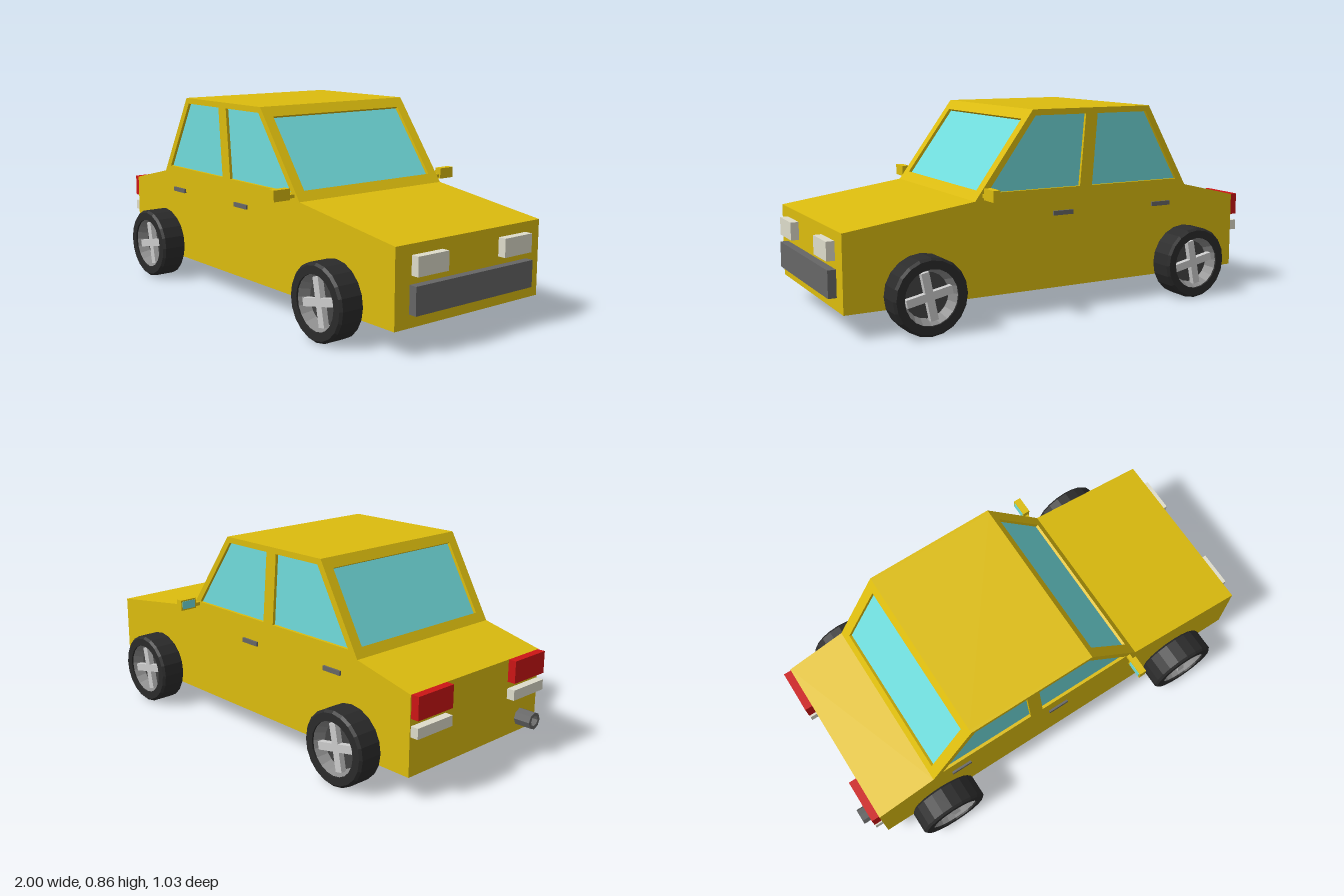
import * as THREE from 'three';

const mat = (color, side = THREE.FrontSide) =>
  new THREE.MeshStandardMaterial({ color, flatShading: true, side });
const PAINT = mat(0xdcbc0e), GLASS = mat(0x70dcdc), TYRE = mat(0x2b2b2b), DARK = mat(0x666666),
  LAMP = mat(0xdedccb), RED = mat(0xcc1515), RIM = mat(0xcccccc),
  BARREL = mat(0x8a8a8a, THREE.DoubleSide), PIPE = mat(0x666666, THREE.DoubleSide);

const W = 0.395;   // half width of the body
const T = 0.013;   // thickness of the cabin panels
const poly = (pts) => new THREE.Shape(pts.map(([x, y]) => new THREE.Vector2(x, y)));

function add(parent, name, geometry, material) {
  const mesh = new THREE.Mesh(geometry, material);
  mesh.name = name;
  parent.add(mesh);
  return mesh;
}

// Box given by its extents on each axis
function block(parent, name, material, [x0, x1], [y0, y1], [z0, z1]) {
  const m = add(parent, name, new THREE.BoxGeometry(x1 - x0, y1 - y0, z1 - z0), material);
  m.position.set((x0 + x1) / 2, (y0 + y1) / 2, (z0 + z1) / 2);
  return m;
}

// Profile in x/y extruded between two z values
function slab(parent, name, material, shape, z0, z1) {
  const g = new THREE.ExtrudeGeometry(shape, { depth: z1 - z0, bevelEnabled: false });
  return add(parent, name, g.translate(0, 0, z0), material);
}

// Sloping window frame from bottom point p to top point q; s = 1 faces +x, -1 faces -x
function slopingFrame(parent, name, p, q, s) {
  const up = new THREE.Vector3(q[0] - p[0], q[1] - p[1], 0);
  const len = up.length(), h = W - T, w = 0.349;
  up.normalize();
  const shape = poly([[-h, 0], [h, 0], [h, len], [-h, len]]);
  const lo = len * 0.105, hi = len * 0.89;
  shape.holes.push(poly([[-w, lo], [w, lo], [w, hi], [-w, hi]]));
  const g = new THREE.ExtrudeGeometry(shape, { depth: T, bevelEnabled: false }).translate(0, 0, -T);
  const out = new THREE.Vector3(up.y * s, -up.x * s, 0);
  g.applyMatrix4(new THREE.Matrix4().makeBasis(new THREE.Vector3(0, 0, -s), up, out));
  add(parent, name, g.translate(p[0], p[1], 0), PAINT);
}

// Wheel with its axis on z and its outer face towards +z
function makeWheel() {
  const wheel = new THREE.Group();
  wheel.name = 'wheel';
  const ring = (pts) => new THREE.LatheGeometry(
    pts.map(([r, y]) => new THREE.Vector2(r, y)), 20).rotateX(Math.PI / 2);
  add(wheel, 'tyre', ring([[0, -0.058], [0.145, -0.058], [0.157, -0.048], [0.157, 0.048],
    [0.147, 0.058], [0.113, 0.058], [0.113, 0.03]]), TYRE);
  add(wheel, 'rimBarrel', ring([[0.113, 0.05], [0.092, 0.005]]), BARREL);
  add(wheel, 'rimBack', new THREE.CircleGeometry(0.095, 20).translate(0, 0, 0.006), mat(0x444444));
  for (const a of [0.2, 0.2 + Math.PI / 2]) {
    const spoke = add(wheel, 'spoke', new THREE.BoxGeometry(0.196, 0.033, 0.025), RIM);
    spoke.position.z = 0.027;
    spoke.rotation.z = a;
  }
  return wheel;
}

export function createModel() {
  const car = new THREE.Group();
  car.name = 'car';

  // Lower body
  slab(car, 'body', PAINT, poly([[-0.925, 0.1], [0.96, 0.1], [0.96, 0.417], [0.4, 0.495],
    [-0.65, 0.495], [-0.925, 0.43]]), -W, W);

  // Cabin: glass core behind framed panels
  slab(car, 'glass', GLASS, poly([[-0.638, 0.49], [0.387, 0.49], [0.128, 0.842], [-0.437, 0.842]]),
    -W + T, W - T);
  const side = poly([[-0.65, 0.495], [0.4, 0.495], [0.135, 0.855], [-0.445, 0.855]]);
  side.holes.push(
    poly([[-0.6, 0.525], [-0.155, 0.525], [-0.18, 0.83], [-0.427, 0.83]]),
    poly([[-0.095, 0.525], [0.345, 0.525], [0.122, 0.83], [-0.122, 0.83]]));
  slab(car, 'leftSideFrame', PAINT, side, W - T, W);
  slab(car, 'rightSideFrame', PAINT, side, -W, -W + T);
  slopingFrame(car, 'windscreenFrame', [0.4, 0.495], [0.135, 0.855], 1);
  slopingFrame(car, 'rearWindowFrame', [-0.65, 0.495], [-0.445, 0.855], -1);
  block(car, 'roof', PAINT, [-0.445, 0.135], [0.842, 0.855], [-W + T, W - T]);

  block(car, 'grille', DARK, [0.95, 0.995], [0.153, 0.265], [-0.322, 0.322]);

  // Parts on both sides
  for (const s of [1, -1]) {
    const z = (a, b) => (s > 0 ? [a, b] : [-b, -a]);
    block(car, 'headlight', LAMP, [0.95, 0.995], [0.298, 0.375], z(0.155, 0.313));
    block(car, 'tailLight', RED, [-0.96, -0.915], [0.335, 0.43], z(0.193, 0.39));
    block(car, 'reverseLight', LAMP, [-0.96, -0.915], [0.262, 0.306], z(0.193, 0.39));
    for (const x of [-0.562, -0.058])
      block(car, 'doorHandle', DARK, [x, x + 0.095], [0.41, 0.429], z(0.385, 0.404));
    block(car, 'mirrorArm', PAINT, [0.35, 0.367], [0.508, 0.523], z(0.38, 0.43));
    block(car, 'mirror', PAINT, [0.342, 0.374], [0.503, 0.55], z(0.423, 0.502));
    block(car, 'mirrorGlass', GLASS, [0.34, 0.345], [0.509, 0.544], z(0.43, 0.495));
    for (const x of [-0.635, 0.645]) {
      const wheel = makeWheel();
      wheel.position.set(x, 0.157, s * 0.455);
      if (s < 0) wheel.rotation.y = Math.PI;
      car.add(wheel);
    }
  }

  // Hollow exhaust pipe
  const pipe = [[0.022, -0.04], [0.022, 0.04], [0.037, 0.04], [0.037, -0.04]]
    .map(([r, y]) => new THREE.Vector2(r, y));
  const exhaust = add(car, 'exhaust', new THREE.LatheGeometry(pipe, 8).rotateZ(Math.PI / 2), PIPE);
  exhaust.position.set(-0.96, 0.16, 0.288);

  return car;
}
